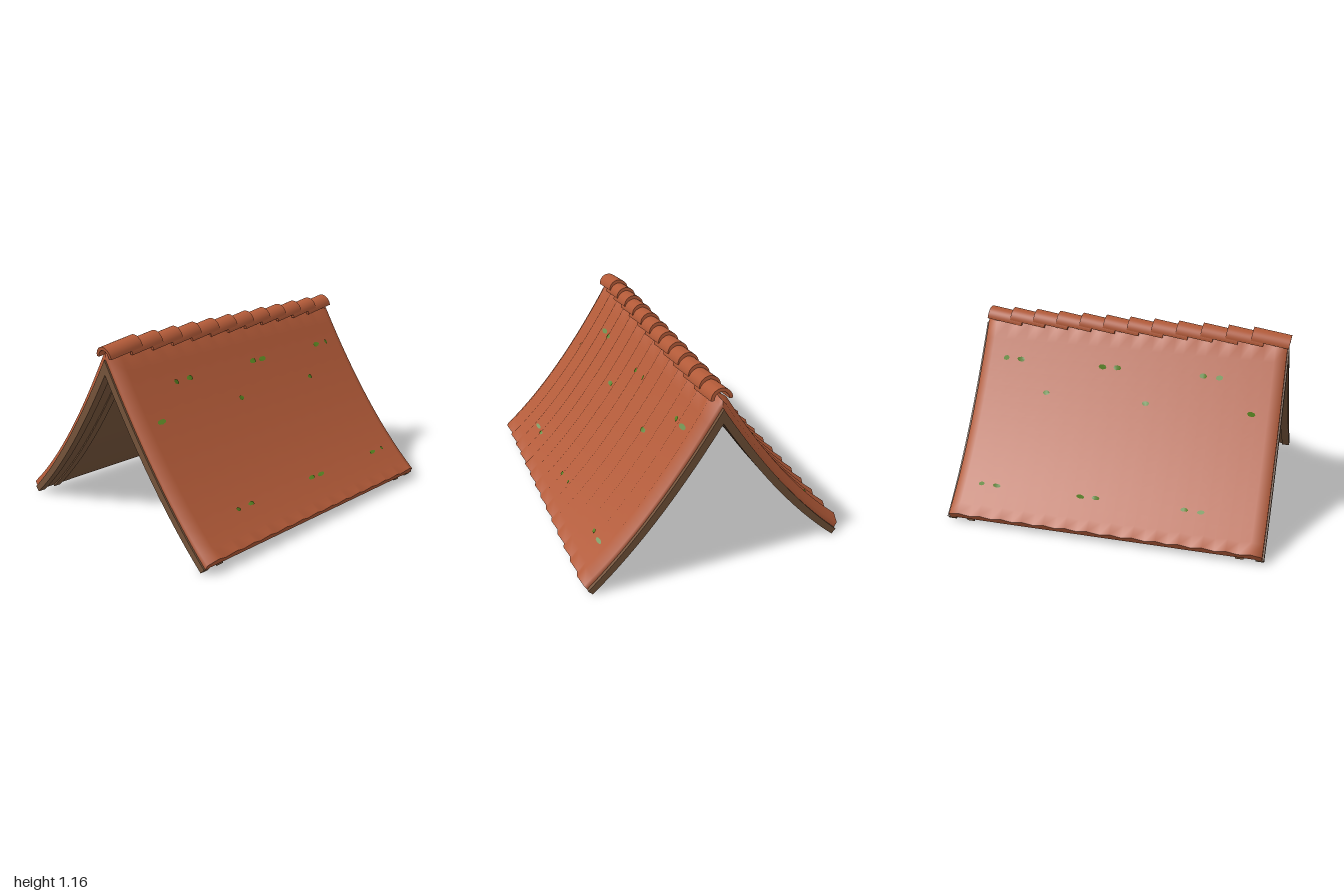
import * as THREE from 'three';
import { toCreasedNormals } from 'three/addons/utils/BufferGeometryUtils.js';

// Parabola through three points
const parabola = ([x0, y0], [x1, y1], [x2, y2]) => (x) =>
  y0 * (x - x1) * (x - x2) / ((x0 - x1) * (x0 - x2)) +
  y1 * (x - x0) * (x - x2) / ((x1 - x0) * (x1 - x2)) +
  y2 * (x - x0) * (x - x1) / ((x2 - x0) * (x2 - x1));

// Slope curves: tile surface, joint between tile and timber, timber underside
const OUT = { from: 0.05, to: 0.847, y: parabola([0.05, 1.09], [0.4, 0.57], [0.847, 0.09]) };
const BASE = { from: 0, to: 0.81, y: parabola([0, 1.06], [0.4, 0.485], [0.81, 0.037]) };
const LOW = { from: 0, to: 0.783, y: parabola([0, 0.97], [0.4, 0.41], [0.783, 0.008]) };
const STEPS = 14;
const WAVES = 14;
const END = 0.98;

function sample(curve, t, lift = 0) {
  const x = THREE.MathUtils.lerp(curve.from, curve.to, t);
  return [x, curve.y(x) + lift];
}

// Point on the corrugated tile surface, raised along the slope normal by lift
function tilePoint(x, z, lift = 0) {
  const phase = ((z + END) / (2 * END)) * WAVES;
  const valley = Math.abs((phase - Math.floor(phase)) * 2 - 1);
  const slope = (OUT.y(x + 0.001) - OUT.y(x - 0.001)) / 0.002;
  const len = Math.hypot(slope, 1);
  const d = lift - 0.03 * valley;
  return [x - slope / len * d, OUT.y(x) + d / len, z];
}

function indexed(points, index) {
  const geo = new THREE.BufferGeometry();
  geo.setAttribute('position', new THREE.Float32BufferAttribute(points.flat(), 3));
  geo.setIndex(index);
  geo.computeVertexNormals();
  return geo;
}

function mirrored(geo) {
  const copy = geo.clone().scale(-1, 1, 1);
  const a = copy.index.array;
  for (let i = 0; i < a.length; i += 3) [a[i], a[i + 1]] = [a[i + 1], a[i]];
  copy.computeVertexNormals();
  return copy;
}

// Smooth corrugated sheet whose edges roll down at both gables
function tileSheet() {
  const points = [], index = [];
  const cols = WAVES * 2 + 3;
  for (let i = -1; i <= STEPS; i++) {
    const t = Math.max(i, 0) / STEPS;
    for (let j = 0; j < cols; j++) {
      const k = THREE.MathUtils.clamp(j - 1, 0, WAVES * 2);
      const z = -END + (k / WAVES) * END;
      if (j === 0 || j === cols - 1) points.push([...(i < 0 ? [0, 1.05] : sample(BASE, t)), z]);
      else if (i < 0) points.push([0, 1.105, z]);
      else points.push(tilePoint(sample(OUT, t)[0], z));
    }
  }
  for (let i = 0; i <= STEPS; i++) {
    for (let j = 0; j < cols - 1; j++) {
      const a = i * cols + j, c = a + cols;
      index.push(a, a + 1, c, a + 1, c + 1, c);
    }
  }
  return indexed(points, index);
}

// Zigzag face closing the tiles along the eave
function tileEave() {
  const points = [], index = [];
  for (let j = 0; j <= WAVES * 2; j++) {
    const z = -END + (j / WAVES) * END;
    points.push(tilePoint(OUT.to, z), [...sample(BASE, 1), z]);
    if (j) {
      const a = j * 2 - 2;
      index.push(a, a + 2, a + 1, a + 2, a + 3, a + 1);
    }
  }
  return indexed(points, index);
}

// Chevron-shaped timber running over both slopes, between z0 and z1
function timber(upper, upperLift, lowerLift, z0, z1) {
  const half = (curve, lift) =>
    Array.from({ length: STEPS + 1 }, (_, i) => sample(curve, i / STEPS, lift));
  const both = (pts) => [...pts.slice(1).reverse().map(([x, y]) => [-x, y]), ...pts];
  const outline = [...both(half(LOW, lowerLift)), ...both(half(upper, upperLift)).reverse()];
  const shape = new THREE.Shape(outline.map(([x, y]) => new THREE.Vector2(x, y)));
  const geo = new THREE.ExtrudeGeometry(shape, { depth: z1 - z0, bevelEnabled: false });
  return toCreasedNormals(geo.translate(0, 0, z0), 0.5);
}

// Half-round ridge tile, front end at the origin and running back
function ridgeTileGeometry() {
  const shape = new THREE.Shape();
  shape.absarc(0, 0, 0.066, 0, Math.PI, false);
  shape.absarc(0, 0, 0.045, Math.PI, 0, true);
  const geo = new THREE.ExtrudeGeometry(shape, { depth: 0.235, bevelEnabled: false, curveSegments: 14 });
  return toCreasedNormals(geo.translate(0, 0, -0.235), 0.6);
}

// Small patch draped over the tiles
function mossPatch(x, z) {
  const geo = new THREE.CircleGeometry(1, 8);
  const pos = geo.attributes.position;
  for (let i = 0; i < pos.count; i++) {
    const px = x + pos.getY(i) * 0.009;
    const pz = z + pos.getX(i) * 0.024;
    pos.setXYZ(i, ...tilePoint(px, pz, 0.005));
  }
  // the disc's own axes were swapped onto z and x, so it faces outward
  geo.computeVertexNormals();
  return geo;
}

export function createModel() {
  const clay = new THREE.MeshStandardMaterial({ color: 0xb25a38 });
  clay.name = 'terracotta';
  const wood = new THREE.MeshStandardMaterial({ color: 0x74533a });
  wood.name = 'brown timber';
  const moss = new THREE.MeshStandardMaterial({ color: 0x55801f, side: THREE.DoubleSide });
  moss.name = 'moss green';

  const roof = new THREE.Group();
  roof.name = 'roof';
  const add = (name, geo, material) => {
    const mesh = new THREE.Mesh(geo, material);
    mesh.name = name;
    roof.add(mesh);
    return mesh;
  };
  const addPair = (name, geo, material) => {
    add(name + 'Left', geo, material);
    add(name + 'Right', mirrored(geo), material);
  };

  // Tiled slopes
  addPair('tileSheet', tileSheet(), clay);
  addPair('tileEave', tileEave(), clay);

  // Timber deck, gable boards and inner rafters
  add('deck', timber(BASE, 0, 0.012, -0.96, 0.95), wood);
  add('gableBoardFront', timber(BASE, 0, 0, 0.94, 0.99), wood);
  add('gableBoardBack', timber(BASE, 0, 0, -1, -0.95), wood);
  add('rafterFront', timber(LOW, 0.025, 0, 0.82, 0.87), wood);
  add('rafterBack', timber(LOW, 0.025, 0, -0.88, -0.83), wood);

  // Overlapping ridge tiles, each tipped up towards the back
  const ridge = ridgeTileGeometry();
  for (let i = 0; i < 12; i++) {
    const tile = add('ridgeTile' + (i + 1), ridge, clay);
    tile.position.set(0, 1.072, 0.99 - 0.157 * i);
    tile.rotation.x = 0.15;
  }

  // Moss: upper and lower rows in pairs, with a sparse row between
  const pairs = [0.59, 0.49, -0.06, -0.16, -0.71, -0.81];
  for (const [x, zs] of [[0.175, pairs], [0.29, [0.81, 0.15, -0.5]], [0.69, pairs]]) {
    for (const z of zs) addPair('moss', mossPatch(x, z), moss);
  }
  return roof;
}
